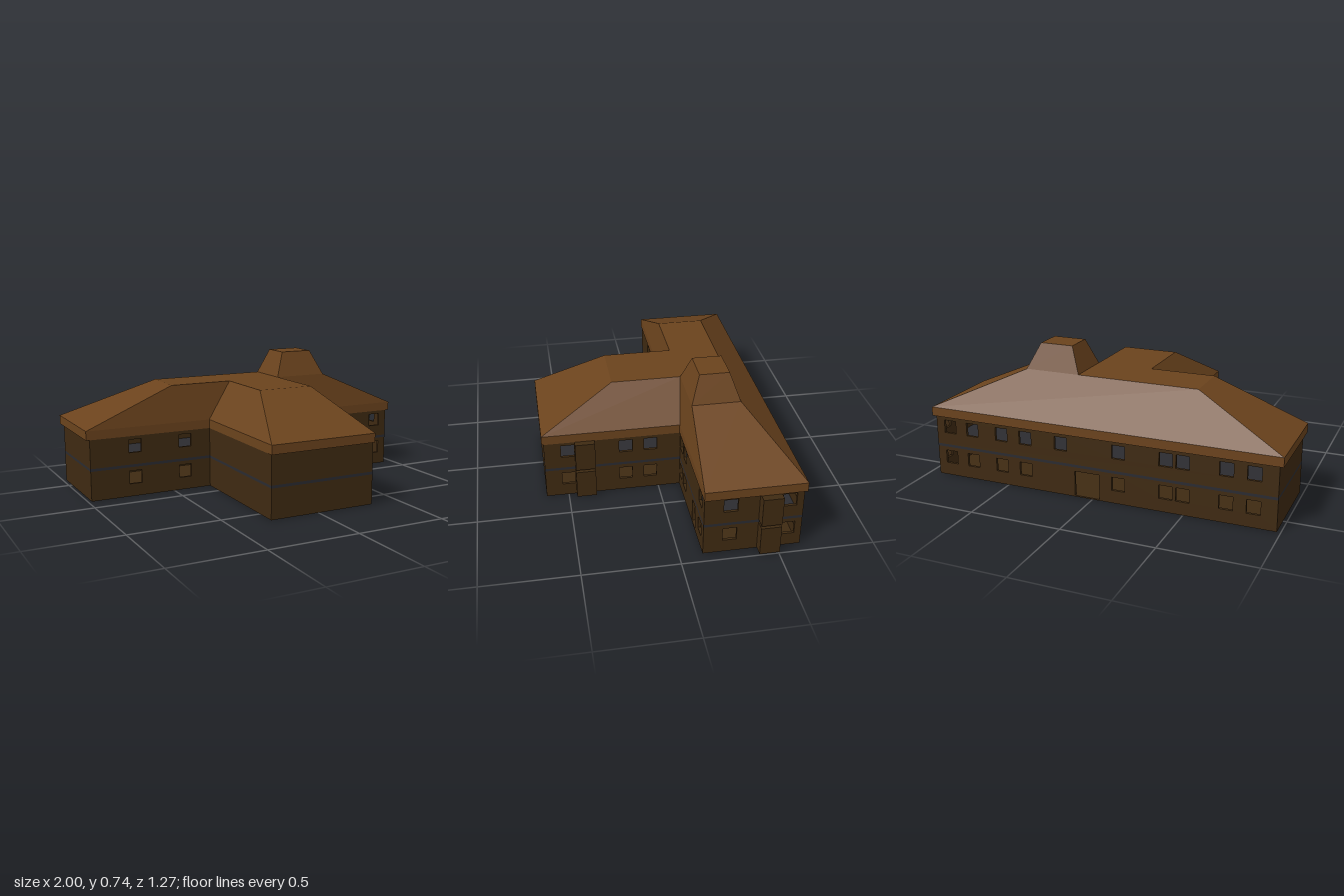
import * as THREE from 'three';

const roofMat = new THREE.MeshStandardMaterial({ color: 0x6b431d, flatShading: true });
const wallMat = new THREE.MeshStandardMaterial({ color: 0x3f2a12, flatShading: true });
const slabMat = new THREE.MeshStandardMaterial({ color: 0x2b2b30, flatShading: true });

function add(parent, name, geometry, material) {
  const mesh = new THREE.Mesh(geometry, material);
  mesh.name = name;
  parent.add(mesh);
  return mesh;
}

// Box given by its limits [x0, x1], [y0, y1], [z0, z1]
function boxBetween([x0, x1], [y0, y1], [z0, z1]) {
  return new THREE.BoxGeometry(x1 - x0, y1 - y0, z1 - z0)
    .translate((x0 + x1) / 2, (y0 + y1) / 2, (z0 + z1) / 2);
}

// Hipped block: a box whose top rectangle differs from its base rectangle
function hip(base, top, y0, y1) {
  const g = new THREE.BoxGeometry(1, 1, 1);
  const p = g.attributes.position;
  for (let i = 0; i < p.count; i++) {
    const up = p.getY(i) > 0;
    const r = up ? top : base;
    p.setXYZ(i, p.getX(i) < 0 ? r[0] : r[1], up ? y1 : y0, p.getZ(i) < 0 ? r[2] : r[3]);
  }
  g.computeVertexNormals();
  return g;
}

function rectHole(u0, u1, v0, v1) {
  return new THREE.Path([[u0, v0], [u1, v0], [u1, v1], [u0, v1]].map(([u, v]) => new THREE.Vector2(u, v)));
}

// T-shaped plan, anticlockwise from above, as [x, z]
const plan = [
  [-0.278, 0.622], [0.333, 0.622], [0.333, -0.12], [0.94, -0.12],
  [0.94, -0.627], [-0.98, -0.627], [-0.98, -0.12], [-0.278, -0.12],
];

// Openings per wall: window centres along the wall's axis for both storeys
const openings = {
  1: { both: [0.495, 0.18, 0.045] },
  2: { both: [0.375, 0.475, 0.855], door: [0.68, 0.75] },
  3: { both: [-0.255, -0.555] },
  4: { both: [0.855, 0.715, 0.535, 0.39, -0.147, -0.405, -0.495, -0.72, -0.86], upper: [0.18], door: [-0.04, 0.1] },
  6: { both: [-0.725, -0.43] },
};

function wall(i, y0, y1, sill, upper) {
  const a = plan[i], b = plan[(i + 1) % plan.length];
  const dx = b[0] - a[0], dz = b[1] - a[1];
  const length = Math.abs(dx) + Math.abs(dz);
  const along = c => (Math.abs(dx) > 0 ? (c - a[0]) * Math.sign(dx) : (c - a[1]) * Math.sign(dz));
  const shape = new THREE.Shape([[0, y0], [length, y0], [length, y1], [0, y1]].map(([u, v]) => new THREE.Vector2(u, v)));
  const o = openings[i] || {};
  const centres = [...(o.both || []), ...(upper ? o.upper || [] : [])];
  for (const c of centres) {
    const u = along(c);
    shape.holes.push(rectHole(u - 0.036, u + 0.036, sill, sill + 0.073));
  }
  if (o.door && !upper) {
    const [u0, u1] = o.door.map(along).sort((p, q) => p - q);
    shape.holes.push(rectHole(u0, u1, y0 + 0.002, 0.143));
  }
  const g = new THREE.ExtrudeGeometry(shape, { depth: 0.015, bevelEnabled: false });
  g.translate(0, 0, -0.015).rotateY(Math.atan2(-dz, dx)).translate(a[0], 0, a[1]);
  return g;
}

function slab(y0, y1) {
  const shape = new THREE.Shape(plan.map(([x, z]) => new THREE.Vector2(x, -z)));
  return new THREE.ExtrudeGeometry(shape, { depth: y1 - y0, bevelEnabled: false })
    .rotateX(-Math.PI / 2).translate(0, y0, 0);
}

export function createModel() {
  const house = new THREE.Group();
  house.name = 'house';

  // Floors
  add(house, 'groundFloor', slab(0, 0.005), wallMat);
  add(house, 'upperFloor', slab(0.165, 0.18), slabMat);

  // Two storeys of walls, each with its end bays
  const storeys = [
    { name: 'lower', y: [0.005, 0.165], sill: 0.071 },
    { name: 'upper', y: [0.18, 0.34], sill: 0.247 },
  ];
  for (const s of storeys) {
    const storey = new THREE.Group();
    storey.name = s.name + 'Storey';
    plan.forEach((_, i) => add(storey, 'wall', wall(i, ...s.y, s.sill, s.name === 'upper'), wallMat));
    add(storey, 'wingBay', boxBetween([0.325, 0.373], s.y, [0.35, 0.457]), wallMat);
    add(storey, 'mainBay', boxBetween([0.93, 0.998], s.y, [-0.505, -0.4]), wallMat);
    house.add(storey);
  }

  // Eaves
  const roof = new THREE.Group();
  roof.name = 'roof';
  add(roof, 'mainEaves', boxBetween([-1, 0.96], [0.34, 0.39], [-0.636, -0.115]), roofMat);
  add(roof, 'wingEaves', boxBetween([-0.281, 0.338], [0.34, 0.39], [-0.115, 0.632]), roofMat);

  // Hipped roofs with flat decks, and the raised hood on the main deck
  add(roof, 'mainRoof', hip([-1, 0.96, -0.636, -0.115], [-0.495, 0.488, -0.405, -0.145], 0.39, 0.597), roofMat);
  add(roof, 'wingRoof', hip([-0.281, 0.338, -0.145, 0.632], [-0.138, 0.177, -0.145, 0.232], 0.39, 0.597), roofMat);
  add(roof, 'roofHood', hip([0.177, 0.488, -0.405, -0.145], [0.235, 0.422, -0.355, -0.195], 0.597, 0.738), roofMat);
  house.add(roof);

  return house;
}
